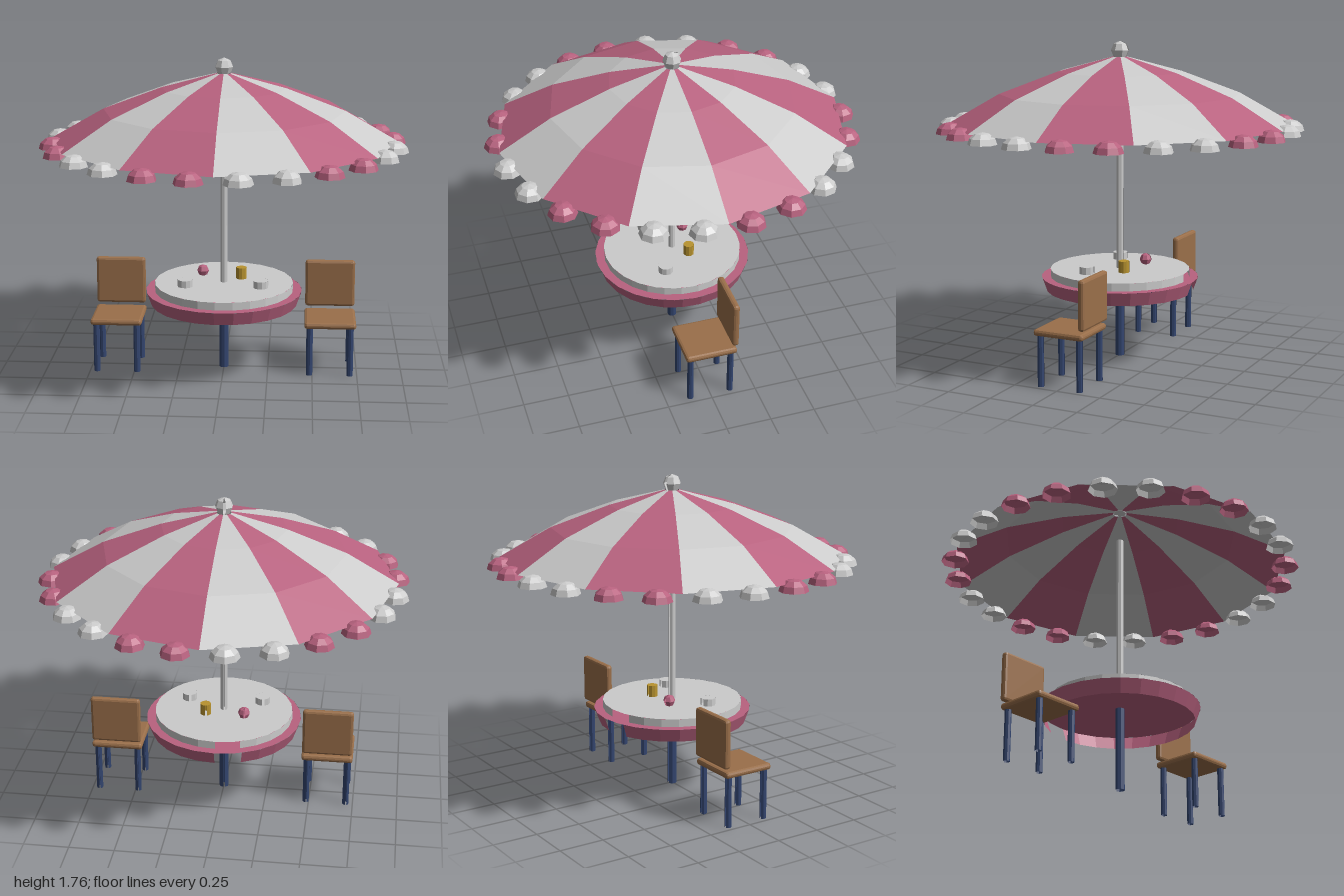
import * as THREE from 'three';
import { RoundedBoxGeometry } from 'three/addons/geometries/RoundedBoxGeometry.js';

const material = (color) => new THREE.MeshStandardMaterial({ color, flatShading: true, side: THREE.DoubleSide });
const GREY = material(0xcccccc);
const PINK = material(0xb8627f);
const BROWN = material(0x9a6f4a);
const BLUE = material(0x33456f);
const GOLD = material(0xb8932f);
const SLOT = 0.35; // narrow open slot at the back of round parts

function add(parent, name, geometry, mat, x = 0, y = 0, z = 0) {
  const mesh = new THREE.Mesh(geometry, mat);
  mesh.name = name;
  mesh.position.set(x, y, z);
  parent.add(mesh);
  return mesh;
}

// Open tube between two heights, with the slot facing the back
function tube(parent, name, mat, rTop, rBottom, y0, y1, sides, x = 0, z = 0) {
  const g = new THREE.CylinderGeometry(rTop, rBottom, y1 - y0, sides, 1, true, Math.PI + SLOT, 2 * Math.PI - SLOT);
  return add(parent, name, g, mat, x, (y0 + y1) / 2, z);
}

function disc(parent, name, mat, r, y, sides, x = 0, z = 0) {
  const g = new THREE.CircleGeometry(r, sides).rotateX(-Math.PI / 2);
  return add(parent, name, g, mat, x, y, z);
}

function ball(parent, name, mat, r, x, y, z) {
  const g = new THREE.SphereGeometry(r, 7, 4, 1.5 * Math.PI + SLOT, 2 * Math.PI - SLOT);
  return add(parent, name, g, mat, x, y, z);
}

function createParasol() {
  const parasol = new THREE.Group();
  parasol.name = 'parasol';
  tube(parasol, 'pole', GREY, 0.02, 0.02, 0.5, 1.5, 8);
  ball(parasol, 'finial', GREY, 0.05, 0, 1.715, 0);

  // Striped canopy of twelve panels, with two scallops on each panel's rim
  const profile = [[0.94, 1.32], [0.66, 1.48], [0.34, 1.6], [0.04, 1.68]].map(([r, y]) => new THREE.Vector2(r, y));
  const step = Math.PI / 6;
  const dome = new THREE.SphereGeometry(0.077, 8, 3, 0, 2 * Math.PI, 0, Math.PI / 2).scale(1, 0.83, 1);
  for (let i = 0; i < 12; i++) {
    const mat = i % 2 ? GREY : PINK;
    const panel = new THREE.LatheGeometry(profile, 1, Math.PI / 2 + i * step, step);
    add(parasol, 'canopyPanel', panel, mat);
    for (const part of [0.25, 0.75]) {
      const a = (i + part) * step;
      const scallop = add(parasol, 'scallop', dome, mat, Math.cos(a) * 0.93, 1.28, -Math.sin(a) * 0.93);
      scallop.rotation.y = a;
    }
  }
  return parasol;
}

function createTable() {
  const table = new THREE.Group();
  table.name = 'table';
  tube(table, 'tableLeg', BLUE, 0.026, 0.026, 0, 0.46, 8);
  tube(table, 'tableSkirt', PINK, 0.437, 0.41, 0.385, 0.46, 24);
  disc(table, 'clothDisc', PINK, 0.437, 0.46, 24);
  tube(table, 'tableEdge', GREY, 0.388, 0.388, 0.46, 0.503, 24);
  disc(table, 'tableTop', GREY, 0.388, 0.503, 24);

  // Things on the table
  const cups = [['bowl', GREY, 0.042, 0.543, -0.21, 0.1], ['bowl', GREY, 0.042, 0.543, 0.21, 0.1], ['cup', GOLD, 0.03, 0.567, 0.095, -0.07]];
  for (const [name, mat, r, top, x, z] of cups) {
    tube(table, name, mat, r, r, 0.503, top, 10, x, z);
    disc(table, name + 'Top', mat, r, top, 10, x, z);
  }
  ball(table, 'fruit', PINK, 0.034, -0.125, 0.537, -0.1);
  return table;
}

function createChair(x) {
  const chair = new THREE.Group();
  chair.name = 'chair';
  chair.position.x = x;
  add(chair, 'seat', new RoundedBoxGeometry(0.287, 0.036, 0.287, 1, 0.014), BROWN, 0, 0.294, 0);
  add(chair, 'backrest', new RoundedBoxGeometry(0.28, 0.27, 0.038, 1, 0.014), BROWN, 0, 0.463, -0.134);
  for (const sx of [-1, 1]) {
    for (const sz of [-1, 1]) tube(chair, 'chairLeg', BLUE, 0.018, 0.018, 0, 0.285, 8, sx * 0.113, sz * 0.114);
  }
  return chair;
}

export function createModel() {
  const model = new THREE.Group();
  model.name = 'parasolTableSet';
  model.add(createParasol(), createTable(), createChair(-0.597), createChair(0.597));
  return model;
}
